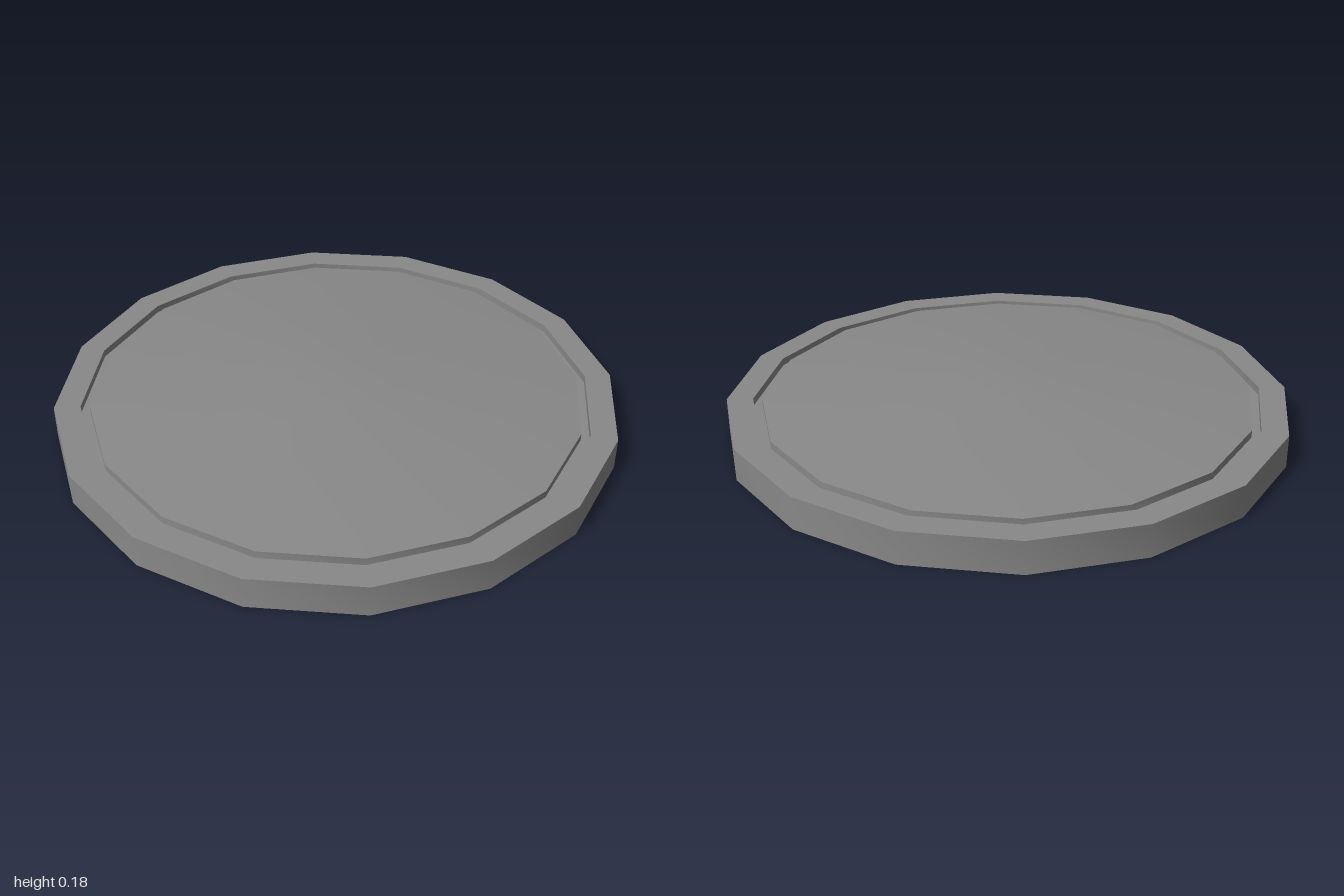
import * as THREE from 'three';
import { toCreasedNormals } from 'three/addons/utils/BufferGeometryUtils.js';

const SIDES = 16;
const FLOOR = 0.09; // bottom of the groove between rim and lid

// Turned part from [radius, height] pairs, smooth around, sharp at the edges
function turned(name, profile, material) {
  const points = profile.map(([r, y]) => new THREE.Vector2(r, y));
  const geometry = toCreasedNormals(new THREE.LatheGeometry(points, SIDES), 0.5);
  const mesh = new THREE.Mesh(geometry, material);
  mesh.name = name;
  return mesh;
}

export function createModel() {
  const group = new THREE.Group();
  group.name = 'roundCover';
  const darkGrey = new THREE.MeshStandardMaterial({ color: 0x888888 });

  // Flat base with raised outer rim and groove floor
  group.add(turned('rim', [
    [0, 0], [1, 0], [1, 0.117], [0.907, 0.117], [0.907, FLOOR], [0.875, FLOOR],
  ], darkGrey));

  // Shallow domed lid with a small flat centre
  group.add(turned('lid', [
    [0.875, FLOOR], [0.875, 0.117], [0.2, 0.182], [0, 0.182],
  ], darkGrey));

  return group;
}
